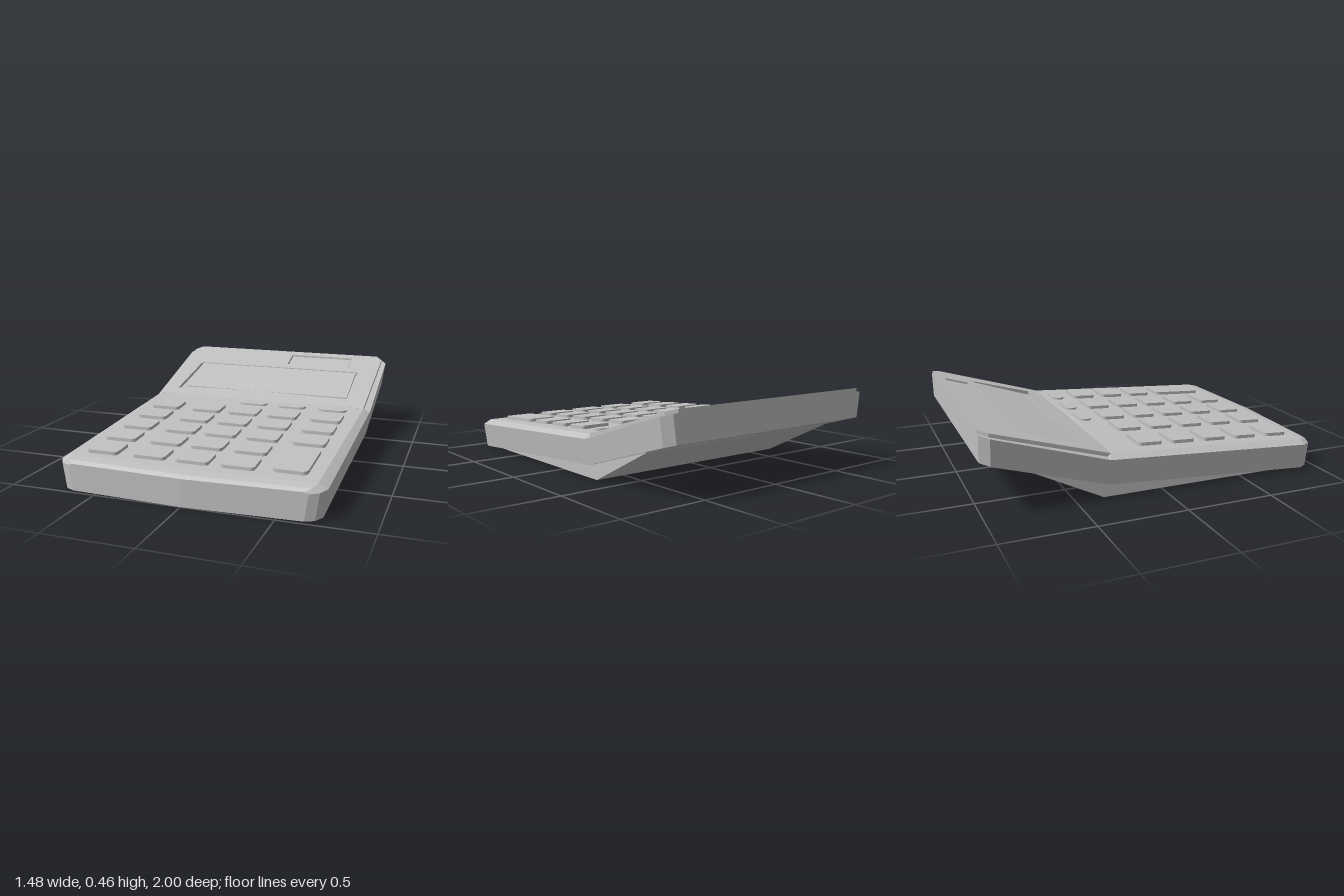
import * as THREE from 'three';

// Sloping top surfaces: keypad deck and raised display deck
const deckY = z => 0.25 - (z + 0.3) * 0.06;
const lidY = z => 0.25 + (-0.3 - z) * 0.3;

// Plan-view polygon or rounded rectangle; shape y is -z
const polygon = (pts, Type = THREE.Shape) => new Type(pts.map(([x, z]) => new THREE.Vector2(x, -z)));
const rect = (x0, x1, z0, z1, Type) => polygon([[x0, z0], [x0, z1], [x1, z1], [x1, z0]], Type);
function roundRect(x0, x1, z0, z1, r) {
  const pts = [];
  const corners = [[x1 - r, z1 - r], [x0 + r, z1 - r], [x0 + r, z0 + r], [x1 - r, z0 + r]];
  corners.forEach(([cx, cz], k) => {
    for (let i = 0; i <= 4; i++) {
      const a = (k + i / 4) * Math.PI / 2;
      pts.push([cx + r * Math.cos(a), cz + r * Math.sin(a)]);
    }
  });
  return polygon(pts);
}

// Plan shape extruded between two heights and sheared onto a sloping surface
function slab(shape, h0, h1, surface) {
  const g = new THREE.ExtrudeGeometry(shape, { depth: h1 - h0, bevelEnabled: false });
  g.rotateX(-Math.PI / 2);
  const p = g.attributes.position;
  for (let i = 0; i < p.count; i++) p.setY(i, p.getY(i) + h0 + surface(p.getZ(i)));
  g.computeVertexNormals();
  return g;
}

// Lofted case: each station is [z, half width, bottom y, wall top y, bevel width, top y, bow]
function bodyGeometry() {
  const stations = [
    [0.97, 0.66, 0.0, 0.143, 0.02, 0.152, 0.03],
    [0.95, 0.71, 0.001, 0.147, 0.04, 0.168, 0.03],
    [0.90, 0.74, 0.003, 0.152, 0.05, 0.178, 0.025],
    [-0.31, 0.74, 0.084, 0.228, 0.04, 0.25, 0.03],
    [-0.325, 0.74, 0.085, 0.23, 0.03, 0.235, 0.03],
    [-0.95, 0.74, 0.275, 0.424, 0.03, 0.425, 0],
    [-1.0, 0.70, 0.29, 0.438, 0.02, 0.44, 0],
  ];
  const rings = stations.map(([z, w, yb, yt, bev, top, bow]) => {
    const half = [[w - 0.02, yb], [w, yt], [w - bev, top]];
    const loop = [[0, yb], ...half, [0, top], ...half.slice().reverse().map(([x, y]) => [-x, y])];
    return loop.map(([x, y]) => [x, y, z + bow * (1 - Math.abs(x) / 0.7)]);
  });
  const v = [];
  const tri = (...pts) => pts.forEach(p => v.push(...p));
  const n = 8;
  for (let i = 0; i < rings.length - 1; i++) {
    for (let j = 0; j < n; j++) {
      const k = (j + 1) % n, A = rings[i], B = rings[i + 1];
      tri(A[j], B[j], B[k]);
      tri(A[j], B[k], A[k]);
    }
  }
  const front = rings[0], back = rings[rings.length - 1];
  for (let j = 1; j < n - 1; j++) {
    tri(front[0], front[j], front[j + 1]);
    tri(back[0], back[j + 1], back[j]);
  }
  const g = new THREE.BufferGeometry();
  g.setAttribute('position', new THREE.Float32BufferAttribute(v, 3));
  g.computeVertexNormals();
  return g;
}

// Wedge under the case, drawn as a side profile (z, y)
function wedgeGeometry() {
  const pts = [[0.93, 0], [0.93, 0.03], [-0.34, 0.1], [-0.78, 0.235], [-0.77, 0.217], [-0.34, 0]];
  const shape = new THREE.Shape(pts.map(([z, y]) => new THREE.Vector2(-z, y)));
  const g = new THREE.ExtrudeGeometry(shape, { depth: 1.36, bevelEnabled: false });
  g.translate(0, 0, -0.68);
  g.rotateY(Math.PI / 2);
  return g;
}

export function createModel() {
  const model = new THREE.Group();
  model.name = 'calculator';
  const grey = new THREE.MeshStandardMaterial({ color: 0xc0c0c0 });
  grey.name = 'grey plastic';
  const add = (name, geometry, parent = model) => {
    const m = new THREE.Mesh(geometry, grey);
    m.name = name;
    parent.add(m);
    return m;
  };

  add('body', bodyGeometry());
  add('baseWedge', wedgeGeometry());

  // Display lid with openings for the screen and the solar cell
  const lid = polygon([[-0.7, -0.305], [0, -0.28], [0.7, -0.305], [0.71, -0.95], [0.67, -1], [-0.67, -1], [-0.71, -0.95]]);
  lid.holes.push(polygon([[-0.61, -0.38], [0.61, -0.38], [0.58, -0.755], [-0.58, -0.755]], THREE.Path));
  lid.holes.push(rect(0.06, 0.5, -0.95, -0.81, THREE.Path));
  add('displayLid', slab(lid, -0.025, 0, lidY));
  add('solarCell', slab(rect(0.065, 0.495, -0.945, -0.815), -0.025, -0.01, lidY));
  // Screen tilts down toward the front of its pocket
  add('screen', slab(rect(-0.57, 0.565, -0.75, -0.44), -0.02, 0, z => lidY(z) - 0.003 - (z + 0.75) * 0.035));

  // Keys: five columns and five rows, the last column ending in a tall key
  const keys = new THREE.Group();
  keys.name = 'keys';
  model.add(keys);
  const columns = [-0.525, -0.247, 0, 0.252, 0.524];
  const rows = [-0.037, 0.165, 0.368, 0.572, 0.78];
  columns.forEach((x, c) => rows.forEach((z, r) => {
    if (c === 4 && r > 2) return;
    add('key', slab(roundRect(x - 0.093, x + 0.093, z - 0.073, z + 0.073, 0.022), -0.01, 0.019, deckY), keys);
  }));
  add('tallKey', slab(roundRect(0.431, 0.617, 0.5, 0.83, 0.03), -0.01, 0.019, deckY), keys);
  // Small pill-shaped keys below the display
  for (const x of [-0.003, 0.255, 0.517])
    add('smallKey', slab(roundRect(x - 0.091, x + 0.091, -0.257, -0.18, 0.036), -0.01, 0.012, deckY), keys);

  return model;
}
